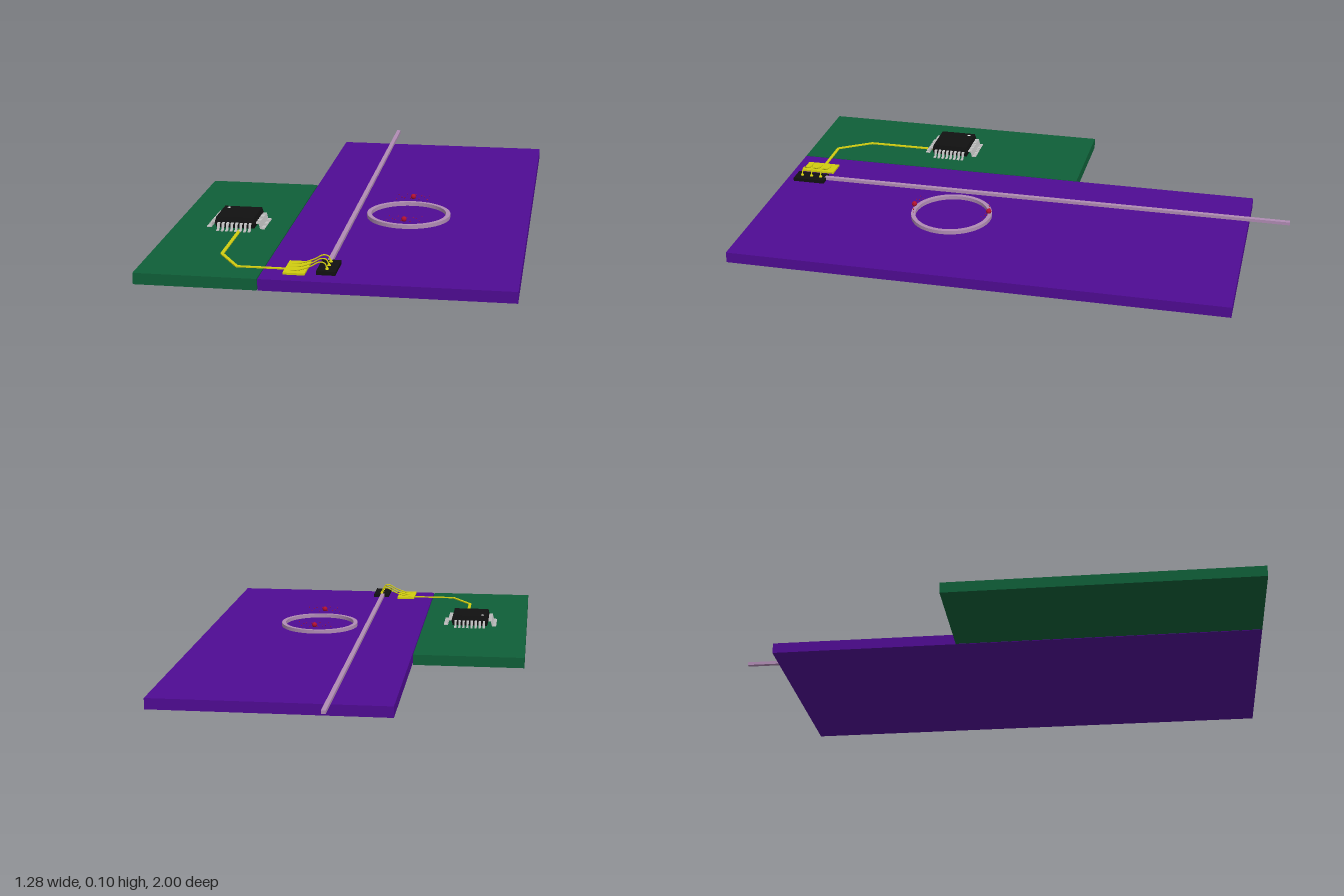
import * as THREE from 'three';

const mat = (name, color, side = THREE.FrontSide) => {
  const m = new THREE.MeshStandardMaterial({ color, side });
  m.name = name;
  return m;
};

export function createModel() {
  const purple = mat('purple board', 0x4f0b93);
  const green = mat('green board', 0x0f5f38);
  const black = mat('black plastic', 0x111111);
  const silver = mat('silver metal', 0xc4c4c4);
  const gold = mat('yellow metal', 0xd0cc10);
  const mauve = mat('mauve guide', 0xb08cb4);
  const red = mat('red light', 0xb01030);
  const white = mat('white mark', 0xeeeeee);

  const model = new THREE.Group();
  model.name = 'photonicChipBoard';
  const add = (parent, name, geo, material, x = 0, y = 0, z = 0) => {
    const m = new THREE.Mesh(geo, material);
    m.name = name;
    m.position.set(x, y, z);
    parent.add(m);
    return m;
  };
  // Box given by its limits on each axis
  const box = (parent, name, material, [x0, x1], [y0, y1], [z0, z1]) =>
    add(parent, name, new THREE.BoxGeometry(x1 - x0, y1 - y0, z1 - z0), material,
      (x0 + x1) / 2, (y0 + y1) / 2, (z0 + z1) / 2);
  // Flat outline extruded upward from y = 0
  const plate = (shape, height, curveSegments = 12) =>
    new THREE.ExtrudeGeometry(shape, { depth: height, bevelEnabled: false, curveSegments }).rotateX(-Math.PI / 2);

  // Boards
  box(model, 'greenBoard', green, [-0.64, -0.219], [0, 0.04], [-0.14, 1]);
  box(model, 'purpleBoard', purple, [-0.216, 0.64], [0, 0.04], [-0.845, 1]);

  // Straight guide and ring, raised just above the board
  box(model, 'straightGuide', mauve, [-0.008, 0.008], [0.052, 0.064], [-1, 0.84]);
  const ringShape = new THREE.Shape().absarc(0, 0, 0.154, 0, Math.PI * 2);
  ringShape.holes.push(new THREE.Path().absarc(0, 0, 0.138, 0, Math.PI * 2, true));
  add(model, 'ringGuide', plate(ringShape, 0.014, 48), mauve, 0.197, 0.05, 0.265);

  // Light points with small sparks along the ring
  for (const s of [-1, 1]) {
    const lights = new THREE.Group();
    lights.name = 'ringLight';
    lights.position.set(0.197, 0.085, 0.265);
    add(lights, 'lightPoint', new THREE.SphereGeometry(0.01, 16, 12), red, 0, 0, s * 0.146);
    for (let i = -6; i <= 6; i++) {
      if (!i) continue;
      const a = i * 0.075;
      add(lights, 'spark', new THREE.OctahedronGeometry(0.0025), red,
        Math.sin(a) * 0.146, 0.009 * Math.sin(i * 2.3), s * Math.cos(a) * 0.146);
    }
    model.add(lights);
  }

  // Processor: body widest at mid-height, tapering above and below
  const chip = new THREE.Group();
  chip.name = 'processor';
  chip.position.set(-0.41, 0, 0.415);
  const body = new THREE.BoxGeometry(0.15, 0.04, 0.15, 1, 2, 1);
  const p = body.attributes.position;
  for (let i = 0; i < p.count; i++) {
    const k = Math.abs(p.getY(i)) > 0.01 ? 0.93 : 1;
    p.setX(i, p.getX(i) * k);
    p.setZ(i, p.getZ(i) * k);
  }
  const flatBody = body.toNonIndexed();
  flatBody.computeVertexNormals();
  add(chip, 'processorBody', flatBody, black, 0, 0.066, 0);
  add(chip, 'cornerMark', new THREE.CylinderGeometry(0.006, 0.006, 0.001, 16), white, -0.05, 0.0865, -0.05);

  // Bent legs, eight on each side
  const legShape = new THREE.Shape();
  [[0.07, 0.063], [0.085, 0.063], [0.09, 0.043], [0.107, 0.043], [0.107, 0.047],
    [0.094, 0.047], [0.089, 0.068], [0.07, 0.068]].forEach(([x, y], i) =>
    i ? legShape.lineTo(x, y) : legShape.moveTo(x, y));
  const legGeo = new THREE.ExtrudeGeometry(legShape, { depth: 0.009, bevelEnabled: false });
  legGeo.translate(0, 0, -0.0045);
  for (let side = 0; side < 4; side++) {
    const row = new THREE.Group();
    row.name = 'legRow';
    row.rotation.y = side * Math.PI / 2;
    for (let i = 0; i < 8; i++) add(row, 'leg', legGeo, silver, 0, 0, (i - 3.5) * 0.0165);
    chip.add(row);
  }
  model.add(chip);

  // Copper trace from processor to contact pad
  const trace = new THREE.Shape();
  [[-0.396, -0.5], [-0.396, -0.771], [-0.313, -0.897], [-0.13, -0.897], [-0.13, -0.886],
    [-0.307, -0.886], [-0.384, -0.768], [-0.384, -0.5]].forEach(([x, y], i) =>
    i ? trace.lineTo(x, y) : trace.moveTo(x, y));
  add(model, 'trace', plate(trace, 0.004), gold, 0, 0.041, 0);
  box(model, 'contactPad', gold, [-0.14, -0.066], [0.045, 0.052], [0.83, 0.958]);

  // Light source and its arched bond wires
  box(model, 'lightSource', black, [-0.027, 0.038], [0.05, 0.063], [0.835, 0.96]);
  const arch = new THREE.CatmullRomCurve3([
    [-0.13, 0.051], [-0.09, 0.056], [-0.05, 0.07], [-0.02, 0.086], [-0.002, 0.083], [0.006, 0.064],
  ].map(([x, y]) => new THREE.Vector3(x, y, 0)));
  for (const z of [0.858, 0.896, 0.934]) {
    add(model, 'bondWire', new THREE.TubeGeometry(arch, 24, 0.0025, 8), gold, 0, 0, z);
    add(model, 'wireEnd', new THREE.CylinderGeometry(0.003, 0.007, 0.008, 12), gold, 0.006, 0.067, z);
  }
  return model;
}
